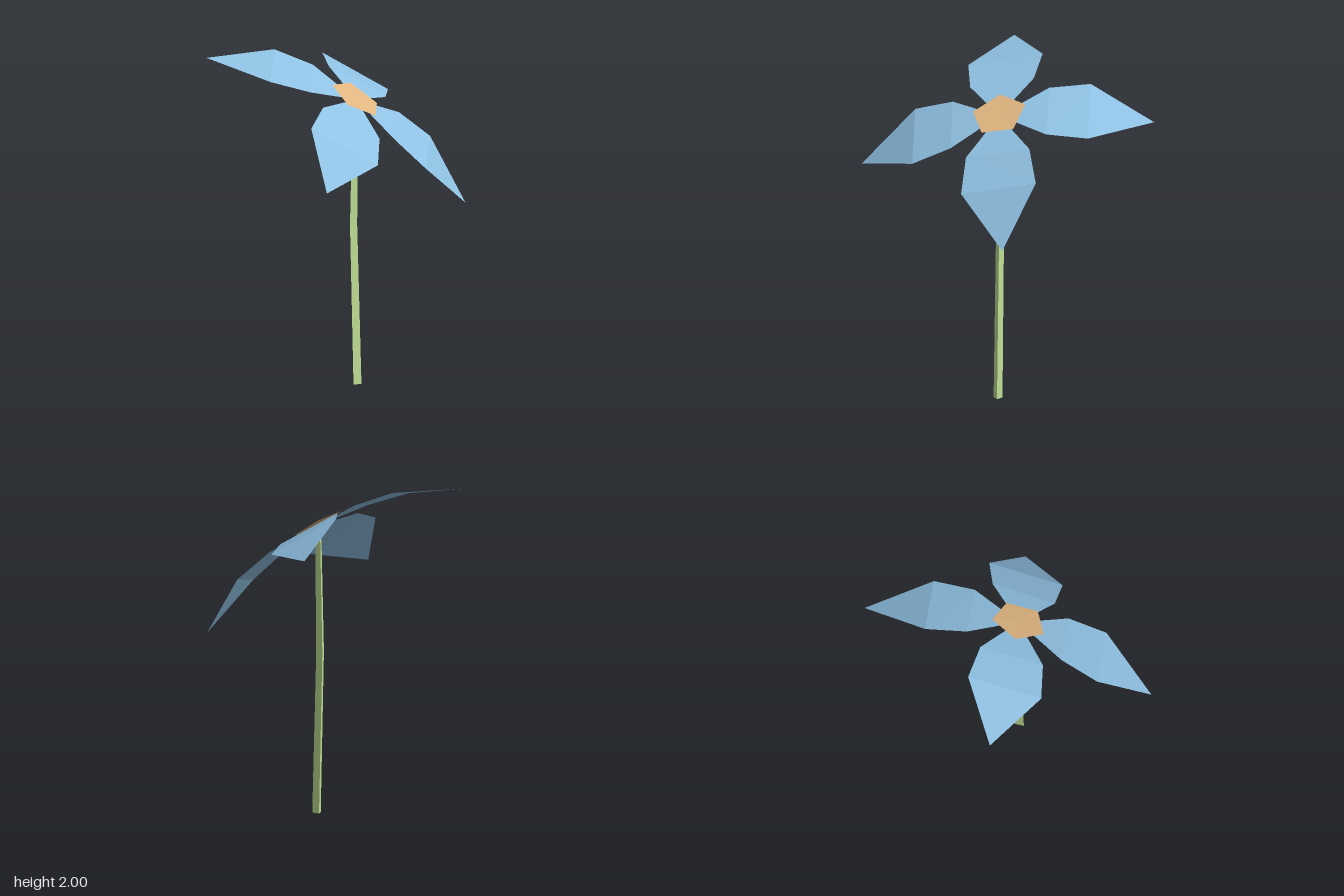
import * as THREE from 'three';

const HUB = [0.086, 1.745, 0.092]; // where petals meet the stem

// Each petal: right shoulder, right widest, tip, left widest, left shoulder
const PETALS = {
  petalBackRight: [[-0.055, 1.912, -0.19], [-0.245, 2, -0.325], [-0.7, 2, -0.33], [-0.475, 1.912, 0.06], [-0.25, 1.84, 0.14]],
  petalBackLeft: [[0.38, 1.685, -0.09], [0.51, 1.67, -0.305], [0.455, 1.71, -0.755], [0.155, 1.9, -0.47], [0.073, 1.88, -0.235]],
  petalFrontLeft: [[0.205, 1.545, 0.355], [0.363, 1.37, 0.452], [0.7, 1.09, 0.325], [0.598, 1.455, 0.067], [0.408, 1.615, 0.03]],
  petalFrontRight: [[-0.227, 1.77, 0.262], [-0.397, 1.7, 0.433], [-0.46, 1.38, 0.752], [-0.037, 1.47, 0.602], [0.08, 1.575, 0.402]],
};

function sheet(name, points, faces, material) {
  const geometry = new THREE.BufferGeometry();
  geometry.setAttribute('position', new THREE.Float32BufferAttribute(points.flat(), 3));
  geometry.setIndex(faces.flat());
  const flat = geometry.toNonIndexed();
  flat.computeVertexNormals();
  const mesh = new THREE.Mesh(flat, material);
  mesh.name = name;
  return mesh;
}

function colour(name, hex, extra) {
  const m = new THREE.MeshStandardMaterial({ color: hex, flatShading: true, ...extra });
  m.name = name;
  return m;
}

export function createModel() {
  const group = new THREE.Group();
  group.name = 'flower';
  const blue = colour('petalBlue', 0x8fc1e3, { side: THREE.DoubleSide });
  const tan = colour('centreTan', 0xe0b580, { side: THREE.DoubleSide });
  const green = colour('stemGreen', 0xc0e095);

  // Folded petals: root triangle, middle quad, tip triangle
  const petalFaces = [[0, 1, 5], [1, 2, 4], [1, 4, 5], [2, 3, 4]];
  for (const [name, points] of Object.entries(PETALS)) {
    group.add(sheet(name, [HUB, ...points], petalFaces, blue));
  }

  // Tilted five-sided flower centre
  const centre = [[-0.043, 1.837, 0.032], [-0.033, 1.752, 0.212], [0.145, 1.67, 0.23], [0.24, 1.7, 0.065], [0.128, 1.81, -0.06]];
  group.add(sheet('flowerCentre', [[0.088, 1.755, 0.094], ...centre],
    centre.map((_, i) => [0, i + 1, ((i + 1) % 5) + 1]), tan));

  // Three-sided stem, bent at the middle and tapering upwards
  const rings = [[0.0825, 0, 0.1, 0.031], [0.067, 0.98, 0.081, 0.028], [0.077, 1.74, 0.09, 0.022]];
  const stemGeometry = new THREE.CylinderGeometry(1, 1, 2, 3, 2, false, Math.PI);
  const p = stemGeometry.attributes.position;
  for (let i = 0; i < p.count; i++) {
    const [x, y, z, r] = rings[Math.round(p.getY(i)) + 1];
    p.setXYZ(i, x + p.getX(i) * r, y, z + p.getZ(i) * r);
  }
  stemGeometry.computeVertexNormals();
  const stem = new THREE.Mesh(stemGeometry, green);
  stem.name = 'stem';
  group.add(stem);

  return group;
}
